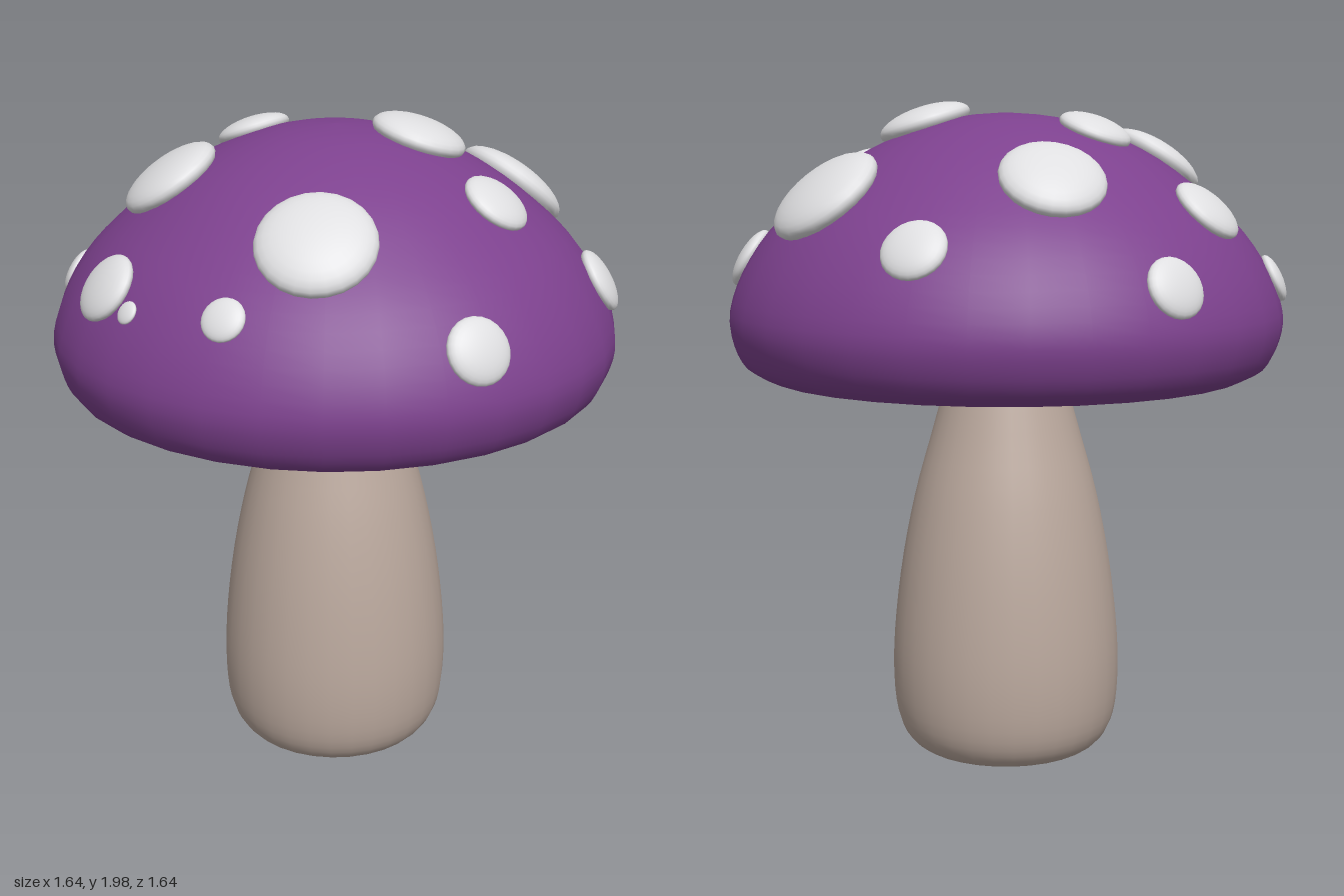
import * as THREE from 'three';

const v = (pts) => pts.map(([r, y]) => new THREE.Vector2(r, y));

// Cap dome, rim to apex, as [radius, height]
const DOME = [[0.71, 1.18], [0.775, 1.215], [0.812, 1.285], [0.82, 1.37], [0.78, 1.485], [0.7, 1.605],
  [0.59, 1.71], [0.45, 1.815], [0.3, 1.89], [0.15, 1.936], [0, 1.95]];
// Hollow underside, centre to rim
const UNDERSIDE = [[0, 1.3], [0.2, 1.29], [0.4, 1.265], [0.55, 1.225], [0.64, 1.19], [0.71, 1.18]];
// Stem, base centre to top
const STEM = [[0, 0.005], [0.12, 0.01], [0.24, 0.022], [0.3, 0.055], [0.335, 0.13], [0.347, 0.26], [0.34, 0.42],
  [0.315, 0.62], [0.275, 0.82], [0.225, 1.0], [0.175, 1.18], [0.14, 1.32]];

// Spots as [x, z, radius]
const SPOTS = [
  [-0.25, -0.74, 0.088], [0.02, -0.53, 0.148], [0.41, -0.59, 0.092], [-0.455, -0.445, 0.108],
  [-0.735, -0.285, 0.073], [-0.205, -0.21, 0.108], [0.565, -0.175, 0.172], [-0.465, 0, 0.15],
  [0.23, 0.055, 0.138], [-0.665, 0.28, 0.1], [-0.62, 0.41, 0.033], [-0.385, 0.61, 0.061],
  [-0.135, 0.535, 0.163], [0.25, 0.73, 0.092], [0.39, 0.32, 0.1], [0.725, 0.23, 0.095],
];

function material(name, color) {
  const m = new THREE.MeshStandardMaterial({ color });
  m.name = name;
  return m;
}

// Smooth profile, ends pinned to the axis where needed
function smooth(pts, n) {
  const out = new THREE.SplineCurve(v(pts)).getPoints(n);
  out.forEach((p) => { p.x = Math.max(p.x, 0); });
  return out;
}

// Height and outward normal of the dome at a given radius
function domeAt(curve, radius) {
  let i = curve.length - 1;
  while (i > 1 && curve[i - 1].x < radius) i--;
  const a = curve[i - 1], b = curve[i];
  const t = (radius - a.x) / (b.x - a.x);
  const normal = new THREE.Vector2(b.y - a.y, a.x - b.x).normalize();
  return { y: a.y + t * (b.y - a.y), normal };
}

export function createModel() {
  const group = new THREE.Group();
  group.name = 'mushroom';
  const purple = material('cap purple', 0x7d418e);
  const beige = material('stem beige', 0xbaa89d);
  const white = material('spot white', 0xdedee0);

  const add = (name, geometry, mat, parent = group) => {
    const mesh = new THREE.Mesh(geometry, mat);
    mesh.name = name;
    parent.add(mesh);
    return mesh;
  };

  // Stem and cap
  add('stem', new THREE.LatheGeometry(smooth(STEM, 36), 32), beige);
  add('cap', new THREE.LatheGeometry(smooth(DOME, 30), 32), purple);
  add('capUnderside', new THREE.LatheGeometry(smooth(UNDERSIDE, 15), 32), purple);

  // Flattened spots lying on the dome
  const spots = new THREE.Group();
  spots.name = 'spots';
  group.add(spots);
  const curve = smooth(DOME, 120);
  const ball = new THREE.SphereGeometry(1, 24, 16);
  const up = new THREE.Vector3(0, 1, 0);
  for (const [x, z, size] of SPOTS) {
    const r = Math.hypot(x, z);
    const { y, normal } = domeAt(curve, r);
    const n = new THREE.Vector3(normal.x * x / r, normal.y, normal.x * z / r);
    const spot = add('spot', ball, white, spots);
    spot.position.set(x, y, z).addScaledVector(n, size * 0.04);
    spot.quaternion.setFromUnitVectors(up, n);
    spot.scale.set(size, size * 0.36, size);
  }
  return group;
}
